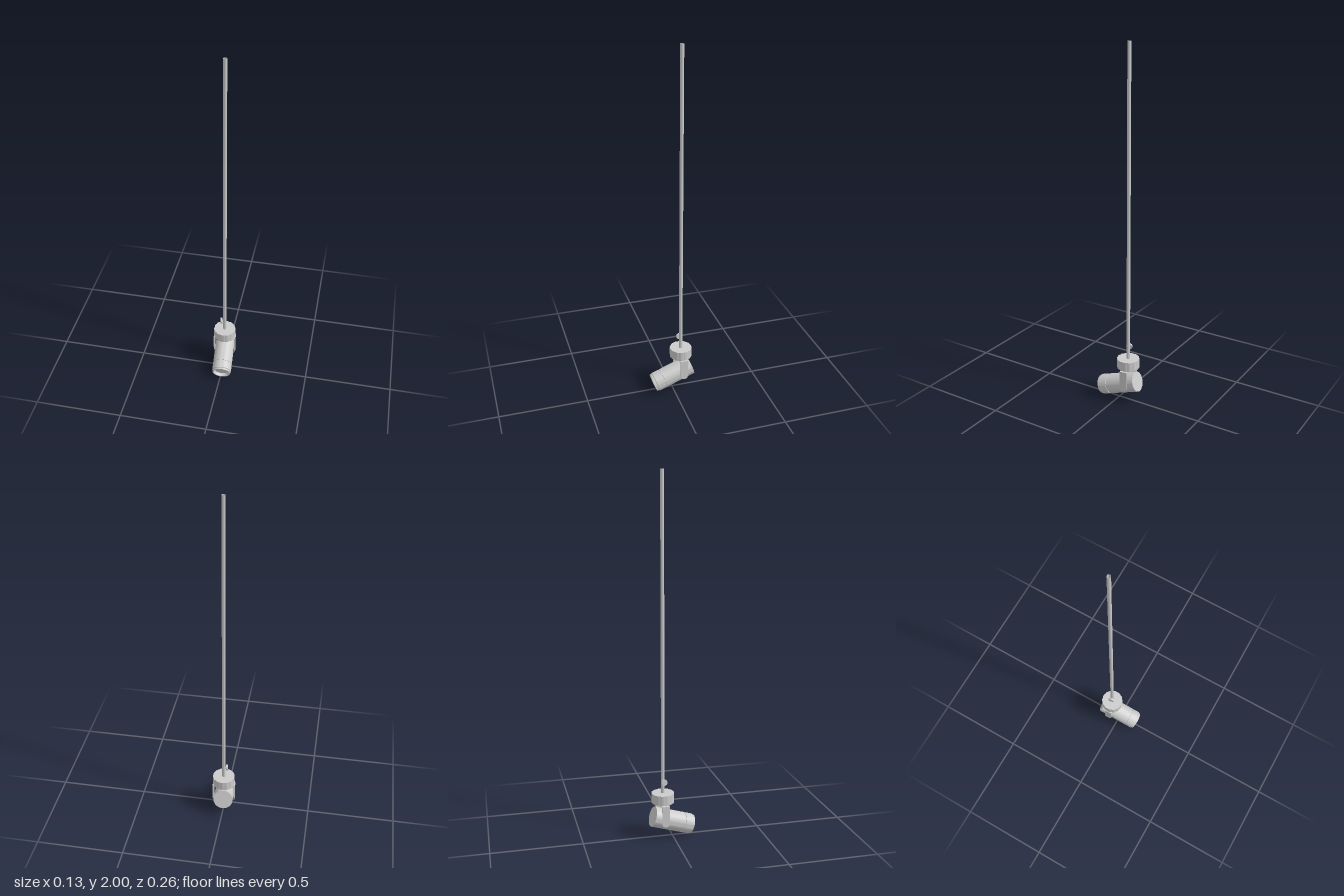
import * as THREE from 'three';
import { toCreasedNormals } from 'three/addons/utils/BufferGeometryUtils.js';

const grey = new THREE.MeshStandardMaterial({ color: 0xcccccc });
const greyDouble = new THREE.MeshStandardMaterial({ color: 0xcccccc, side: THREE.DoubleSide });

function add(parent, name, geometry, x = 0, y = 0, z = 0, material = grey) {
  const mesh = new THREE.Mesh(geometry, material);
  mesh.name = name;
  mesh.position.set(x, y, z);
  parent.add(mesh);
  return mesh;
}

// Disc with a scalloped grip edge, standing on y = 0
function scallopedDisc(radius, notch, lobes, height) {
  const points = [];
  const steps = lobes * 8;
  for (let i = 0; i < steps; i++) {
    const a = (i / steps) * Math.PI * 2;
    const r = radius - notch * (1 - Math.abs(Math.sin((a * lobes) / 2)));
    points.push(new THREE.Vector2(r * Math.cos(a), r * Math.sin(a)));
  }
  const geometry = new THREE.ExtrudeGeometry(new THREE.Shape(points), { depth: height, bevelEnabled: false });
  geometry.rotateX(-Math.PI / 2);
  return toCreasedNormals(geometry, 0.35);
}

export function createModel() {
  const model = new THREE.Group();
  model.name = 'pendantSpotlight';

  // Everything hangs on the axis of the pole
  const hanger = new THREE.Group();
  hanger.name = 'hanger';
  hanger.position.set(-0.003, 0, -0.054);
  model.add(hanger);

  // Hollow pole and knurled collar
  add(hanger, 'pole', new THREE.CylinderGeometry(0.01, 0.01, 1.74, 32, 1, true), 0, 1.13, 0, greyDouble);
  add(hanger, 'collar', scallopedDisc(0.063, 0.0025, 14, 0.054), 0, 0.206, 0);

  // Thumb screw on the side of the pole
  const screw = new THREE.Group();
  screw.name = 'thumbScrew';
  screw.position.set(0, 0.324, 0);
  screw.rotation.y = 0.22;
  hanger.add(screw);
  const knob = scallopedDisc(0.0175, 0.0012, 12, 0.011);
  knob.rotateZ(Math.PI / 2);
  add(screw, 'screwKnob', knob, -0.013, 0, 0);
  const shaft = new THREE.CylinderGeometry(0.004, 0.004, 0.01, 16);
  shaft.rotateZ(Math.PI / 2);
  add(screw, 'screwShaft', shaft, -0.011, 0, 0);

  // Swivelling yoke and lamp
  const swivel = new THREE.Group();
  swivel.name = 'swivel';
  swivel.rotation.y = 0.075;
  hanger.add(swivel);
  add(swivel, 'swivelStem', new THREE.CylinderGeometry(0.012, 0.012, 0.014, 24), 0, 0.2, 0);
  add(swivel, 'yokeBridge', new THREE.BoxGeometry(0.126, 0.006, 0.044), 0, 0.197, 0);

  // Yoke arms with rounded lower ends
  const half = 0.022;
  const pivotY = 0.102;
  const arm = new THREE.Shape();
  arm.moveTo(half, 0.2);
  arm.lineTo(-half, 0.2);
  arm.lineTo(-half, pivotY);
  arm.absarc(0, pivotY, half, Math.PI, Math.PI * 2, false);
  arm.closePath();
  const armGeometry = new THREE.ExtrudeGeometry(arm, { depth: 0.006, bevelEnabled: false, curveSegments: 20 });
  armGeometry.translate(0, 0, -0.003);
  armGeometry.rotateY(Math.PI / 2);
  for (const side of [-1, 1]) {
    const name = side > 0 ? 'left' : 'right';
    add(swivel, name + 'YokeArm', armGeometry, side * 0.061, 0, 0);
    const pin = new THREE.CylinderGeometry(0.009, 0.009, 0.012, 20);
    pin.rotateZ(Math.PI / 2);
    add(swivel, name + 'PivotPin', pin, side * 0.0575, 0.106, 0);
  }

  // Lamp barrel: plain back, seam groove, stepped lip and recessed lens seat
  const profile = [
    [0, -0.118], [0.056, -0.118], [0.056, 0.058], [0.0535, 0.0585], [0.0535, 0.0615],
    [0.056, 0.062], [0.056, 0.106], [0.052, 0.108], [0.052, 0.118], [0.047, 0.118],
    [0.043, 0.1], [0, 0.1],
  ].map(([r, s]) => new THREE.Vector2(r, s));
  const barrel = toCreasedNormals(new THREE.LatheGeometry(profile, 48), 0.4);
  barrel.rotateX(Math.PI / 2);
  const lamp = add(swivel, 'lampBarrel', barrel, 0, 0.09, 0.054);
  lamp.rotation.x = THREE.MathUtils.degToRad(18);

  return model;
}
